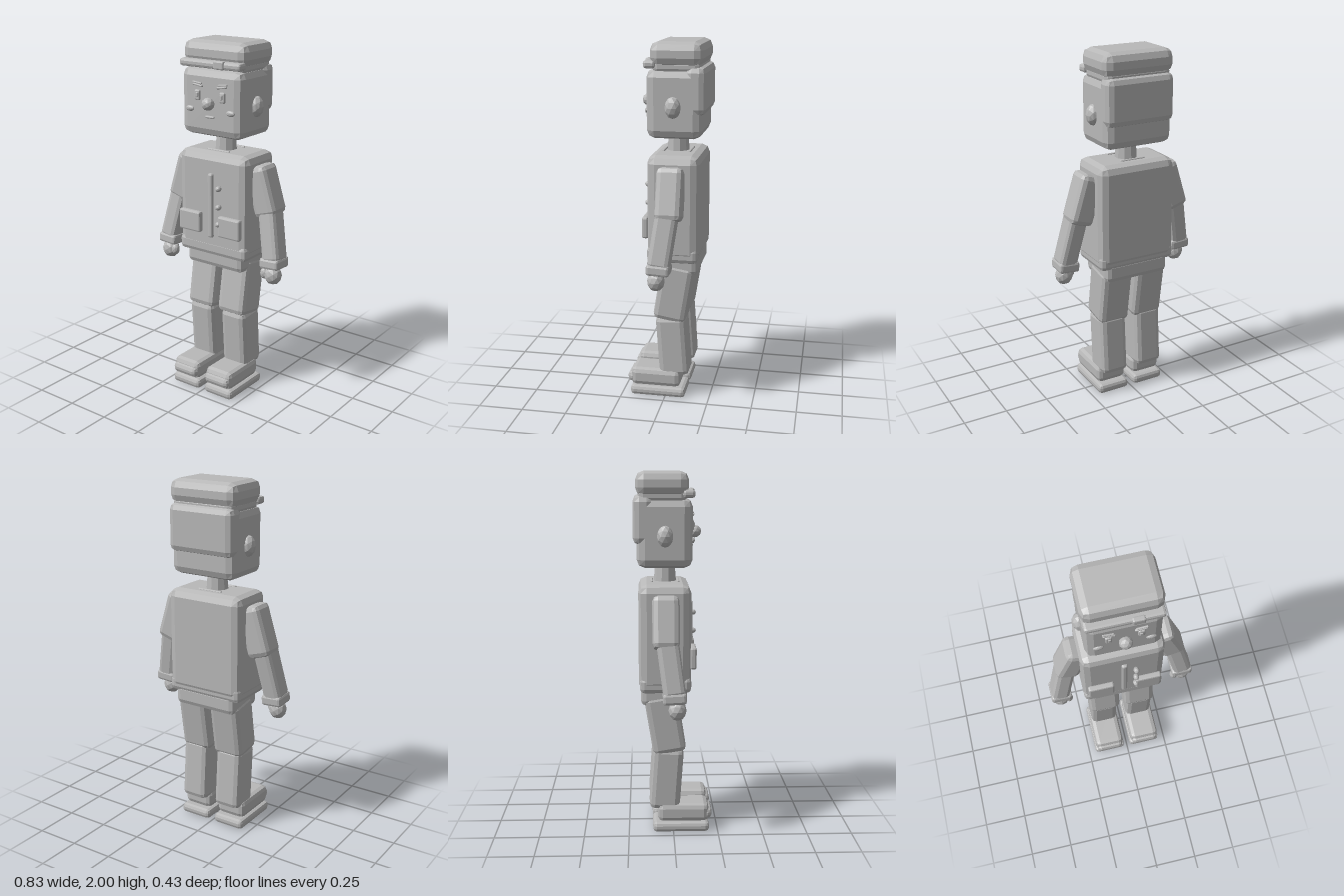
import * as THREE from 'three';
import { RoundedBoxGeometry } from 'three/addons/geometries/RoundedBoxGeometry.js';

export function createModel() {
  const model = new THREE.Group();
  model.name = 'figure';
  const grey = new THREE.MeshStandardMaterial({ color: 0xb8b8b8 });
  grey.name = 'plain grey';

  // Adds a faceted part to a parent group
  function add(parent, name, geometry, pos, rot = [0, 0, 0]) {
    const g = geometry.index ? geometry.toNonIndexed() : geometry;
    g.computeVertexNormals(); // flat facets
    const mesh = new THREE.Mesh(g, grey);
    mesh.name = name;
    mesh.position.set(...pos);
    mesh.rotation.set(...rot);
    parent.add(mesh);
    return mesh;
  }
  // Box with bevelled edges
  const block = (parent, name, size, pos, bevel, rot) =>
    add(parent, name, new RoundedBoxGeometry(...size, 1, bevel), pos, rot);
  // Low-poly ellipsoid
  const ball = (parent, name, radii, pos) =>
    add(parent, name, new THREE.IcosahedronGeometry(1, 1).scale(...radii), pos);
  const group = (name) => {
    const g = new THREE.Group();
    g.name = name;
    model.add(g);
    return g;
  };
  const sides = [['left', 1], ['right', -1]];

  // Head, hair and cap
  const head = group('head');
  block(head, 'skull', [0.4, 0.37, 0.3], [0, 1.675, -0.047], 0.045);
  block(head, 'backHair', [0.4, 0.26, 0.11], [0, 1.745, -0.162], 0.035);
  block(head, 'capCrown', [0.414, 0.13, 0.285], [0, 1.935, -0.06], 0.045);
  block(head, 'capInner', [0.38, 0.08, 0.26], [0, 1.87, -0.06], 0.03);
  block(head, 'capBand', [0.4, 0.042, 0.065], [0, 1.882, 0.083], 0.014);
  block(head, 'capBuckle', [0.066, 0.046, 0.03], [0.065, 1.884, 0.107], 0.008);

  // Face
  ball(head, 'nose', [0.036, 0.035, 0.036], [0, 1.675, 0.122]);
  block(head, 'mouth', [0.058, 0.014, 0.016], [0, 1.602, 0.105], 0.006);
  for (const [side, s] of sides) {
    ball(head, side + 'Ear', [0.045, 0.06, 0.045], [s * 0.193, 1.66, -0.045]);
    block(head, side + 'Eye', [0.036, 0.058, 0.02], [s * 0.083, 1.714, 0.103], 0.008);
    block(head, side + 'Pupil', [0.016, 0.026, 0.01], [s * 0.08, 1.716, 0.113], 0.003);
    block(head, side + 'Brow', [0.066, 0.012, 0.016], [s * 0.08, 1.768, 0.106], 0.005, [0, 0, s * 0.15]);
    block(head, side + 'BrowTop', [0.06, 0.01, 0.014], [s * 0.084, 1.78, 0.105], 0.004, [0, 0, s * 0.1]);
    ball(head, side + 'Cheek', [0.028, 0.016, 0.012], [s * 0.135, 1.636, 0.104]);
  }

  // Neck and jacket
  const torso = group('torso');
  add(torso, 'neck', new THREE.CylinderGeometry(0.052, 0.064, 0.16, 10), [0, 1.45, -0.042]);
  block(torso, 'jacket', [0.46, 0.585, 0.285], [0, 1.112, -0.047], 0.045);
  block(torso, 'hem', [0.456, 0.09, 0.28], [0, 0.855, -0.044], 0.025);
  for (const z of [0.03, -0.115])
    block(torso, 'collarTrim', [0.15, 0.014, 0.014], [0, 1.404, z], 0.005);
  block(torso, 'placket', [0.032, 0.37, 0.03], [0, 1.105, 0.098], 0.01);
  for (const y of [1.215, 1.11, 1.012])
    ball(torso, 'button', [0.016, 0.016, 0.02], [0.063, y, 0.115]);
  for (const [side, s] of sides)
    block(torso, side + 'Pocket', [0.145, 0.12, 0.035], [s * 0.134, 1.0, 0.108], 0.01);
  block(torso, 'pelvis', [0.385, 0.12, 0.255], [0, 0.79, -0.052], 0.03);

  for (const [side, s] of sides) {
    // Arm: sleeve, forearm, cuff, hand
    const arm = group(side + 'Arm');
    block(arm, 'sleeve', [0.135, 0.285, 0.145], [s * 0.265, 1.208, -0.043], 0.03, [0, 0, s * 0.3]);
    block(arm, 'forearm', [0.105, 0.31, 0.12], [s * 0.333, 0.975, -0.018], 0.025, [-0.13, 0, s * 0.2]);
    block(arm, 'cuff', [0.118, 0.06, 0.125], [s * 0.357, 0.823, 0.0], 0.014, [-0.05, 0, s * 0.06]);
    ball(arm, 'hand', [0.05, 0.056, 0.048], [s * 0.362, 0.755, 0.015]);
    ball(arm, 'thumb', [0.024, 0.034, 0.024], [s * 0.316, 0.76, 0.03]);

    // Leg: thigh, shin, shoe
    const leg = group(side + 'Leg');
    block(leg, 'thigh', [0.182, 0.34, 0.185], [s * 0.106, 0.625, -0.045], 0.03, [-0.16, 0, 0]);
    block(leg, 'shin', [0.16, 0.36, 0.17], [s * 0.112, 0.305, -0.038], 0.03, [0.07, 0, 0]);
    block(leg, 'shoeUpper', [0.176, 0.105, 0.285], [s * 0.114, 0.11, 0.056], 0.028);
    block(leg, 'toeCap', [0.164, 0.062, 0.09], [s * 0.114, 0.103, 0.172], 0.024);
    block(leg, 'sole', [0.19, 0.056, 0.315], [s * 0.114, 0.028, 0.043], 0.02);
  }
  return model;
}
